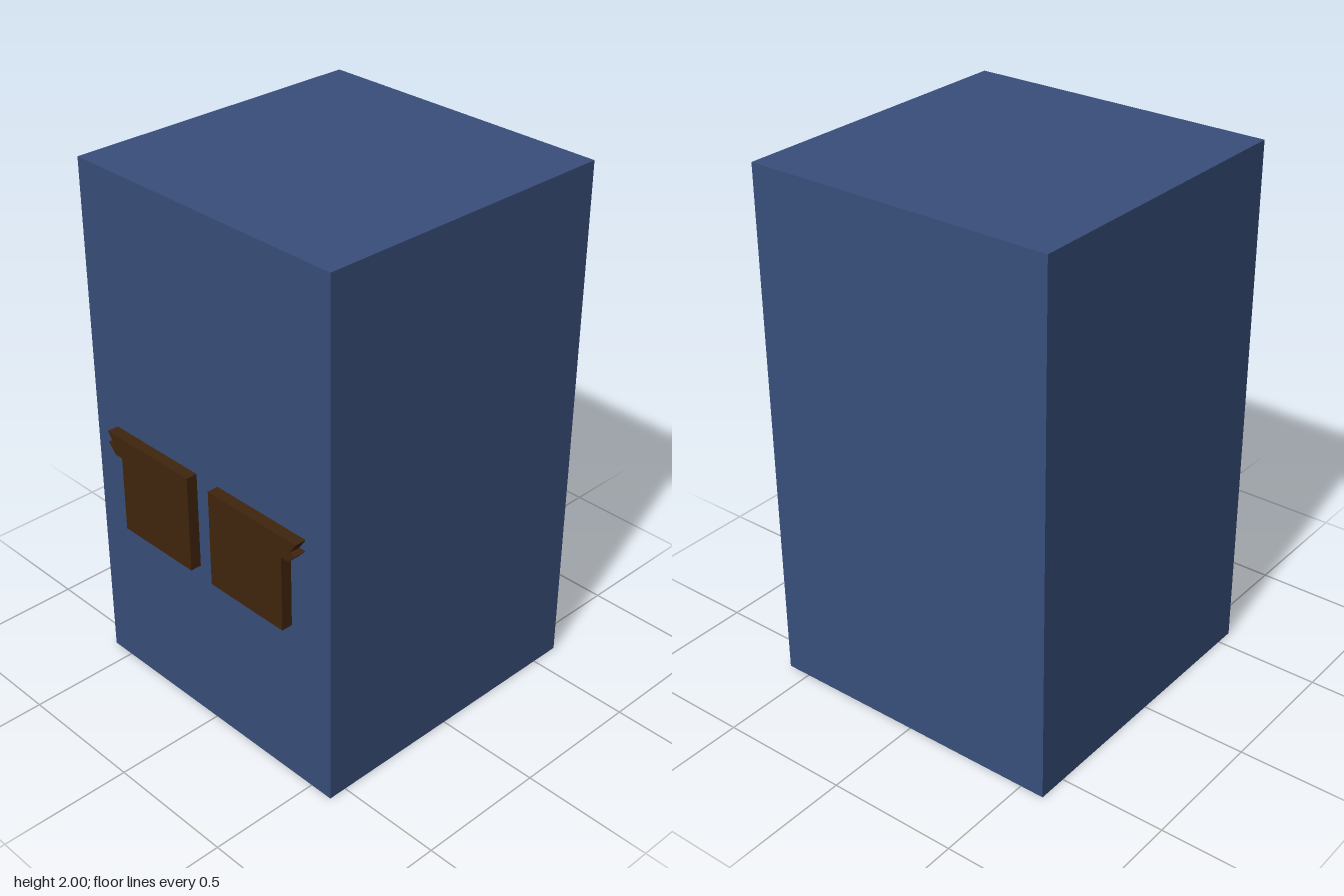
import * as THREE from 'three';

export function createModel() {
  const model = new THREE.Group();
  const blue = new THREE.MeshStandardMaterial({ color: 0x384e7a });
  blue.name = 'denim blue';
  const brown = new THREE.MeshStandardMaterial({ color: 0x40250e });
  brown.name = 'dark brown';

  // Tall block body, set slightly back to leave room for the raised eyes
  const body = new THREE.Mesh(new THREE.BoxGeometry(1.186, 2, 1.186), blue);
  body.name = 'body';
  body.position.set(0, 1, -0.022);
  model.add(body);

  // Eye outline with two pointed lashes at its outer top corner
  const outline = [
    [0.054, 0.645], [0.41, 0.645], [0.41, 0.94], [0.445, 0.94],
    [0.481, 0.978], [0.451, 0.978], [0.481, 1.022], [0.054, 1.022],
  ];
  for (const [side, name] of [[1, 'leftEye'], [-1, 'rightEye']]) {
    const points = outline.map(([x, y]) => new THREE.Vector2(side * x, y));
    const geometry = new THREE.ExtrudeGeometry(new THREE.Shape(points), {
      depth: 0.054, bevelEnabled: false,
    });
    const eye = new THREE.Mesh(geometry, brown);
    eye.name = name;
    eye.position.z = 0.56;
    model.add(eye);
  }
  return model;
}
